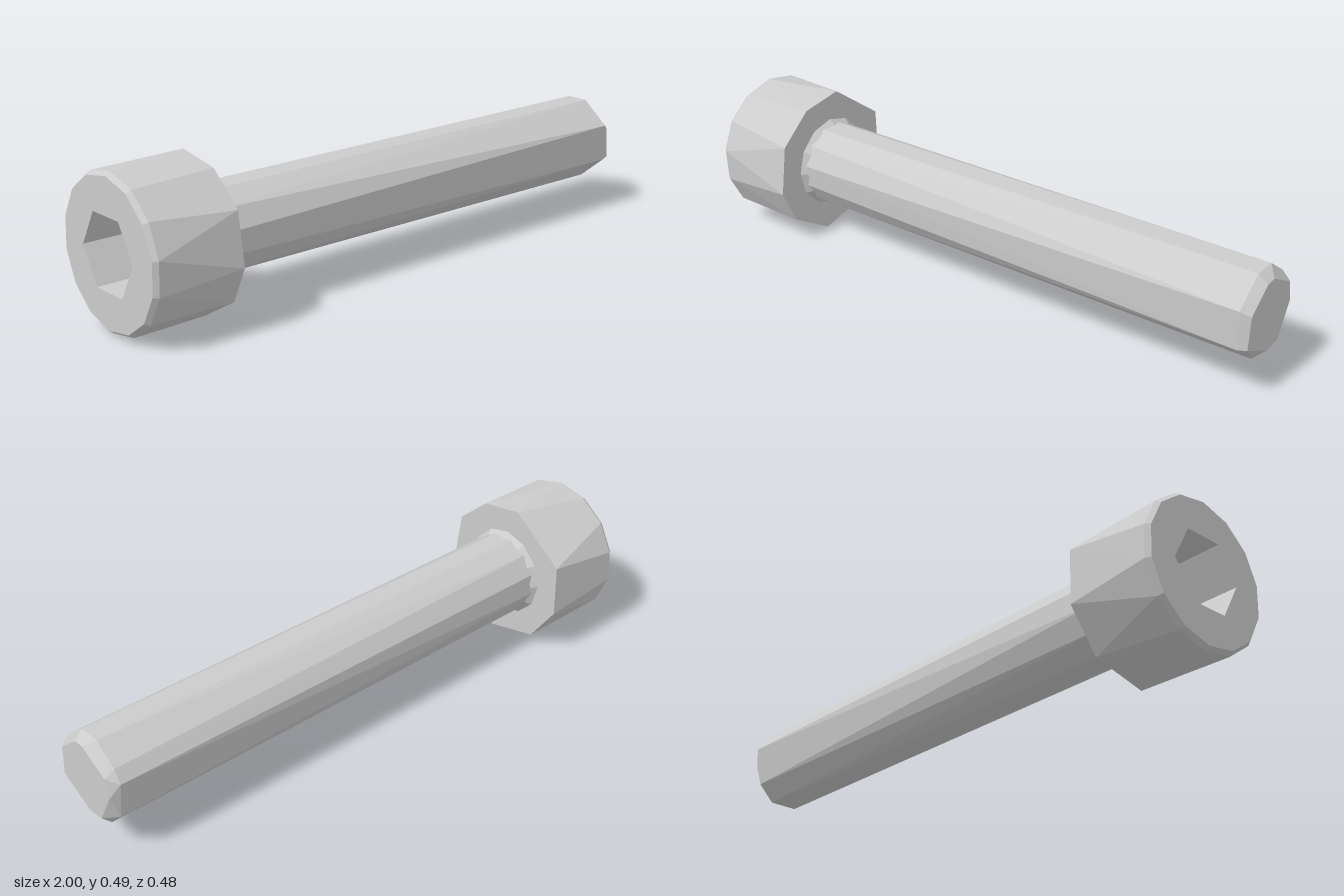
import * as THREE from 'three';
import { ConvexGeometry } from 'three/addons/geometries/ConvexGeometry.js';

const AXIS_Y = 0.247;
const material = new THREE.MeshStandardMaterial({ color: 0xcccccc, flatShading: true });

// Cross-section from [z, y] pairs, placed at a station along the bolt
const section = (x, pairs) => pairs.map(([z, y]) => new THREE.Vector3(x, y - AXIS_Y, z));

// Regular cross-section; angle 0 points to +z
function ring(x, radius, sides, turn = 0) {
  return Array.from({ length: sides }, (_, i) => {
    const a = turn + (i / sides) * Math.PI * 2;
    return new THREE.Vector3(x, radius * Math.sin(a), radius * Math.cos(a));
  });
}

// Faceted skin around the sections, optionally left open at station openX
function skin(points, openX) {
  const hull = new ConvexGeometry(points);
  if (openX === undefined) return hull;
  const p = hull.attributes.position;
  const kept = [];
  for (let i = 0; i < p.count; i += 3) {
    const corners = [i, i + 1, i + 2];
    if (corners.every((k) => Math.abs(p.getX(k) - openX) < 1e-4)) continue;
    corners.forEach((k) => kept.push(p.getX(k), p.getY(k), p.getZ(k)));
  }
  const open = new THREE.BufferGeometry();
  open.setAttribute('position', new THREE.Float32BufferAttribute(kept, 3));
  open.computeVertexNormals();
  return open;
}

function add(group, name, geometry, mat = material) {
  const mesh = new THREE.Mesh(geometry, mat);
  mesh.name = name;
  group.add(mesh);
  return mesh;
}

export function createModel() {
  const model = new THREE.Group();
  model.name = 'socketBolt';
  const bolt = new THREE.Group();
  bolt.name = 'bolt';
  bolt.position.y = AXIS_Y;
  model.add(bolt);

  // Head: coarse irregular underside, rounder rim with a small chamfer
  const underside = section(-0.71, [
    [-0.04, 0.492], [0.108, 0.466], [0.218, 0.368], [0.242, 0.203], [0.187, 0.088],
    [0.04, 0.002], [-0.142, 0.047], [-0.236, 0.18], [-0.23, 0.355],
  ]);
  const rim = ring(-0.985, 0.241, 14, 0.17);
  const face = ring(-1, 0.23, 14, 0.17);
  add(bolt, 'head', skin([...underside, ...rim, ...face], -1));

  // Head face with a hexagonal opening (shape x maps to z)
  const hex = ring(-1, 0.13, 6);
  const to2D = (v) => new THREE.Vector2(v.z, v.y);
  const faceShape = new THREE.Shape(face.map(to2D));
  faceShape.holes.push(new THREE.Path(hex.map(to2D)));
  const headFace = add(bolt, 'headFace', new THREE.ShapeGeometry(faceShape));
  headFace.rotation.y = -Math.PI / 2;
  headFace.position.x = -1;

  // Hex socket: inward-facing walls and a floor
  const depth = 0.14;
  const inside = material.clone();
  inside.side = THREE.DoubleSide;
  const walls = new THREE.CylinderGeometry(0.13, 0.13, depth, 6, 1, true).rotateZ(Math.PI / 2);
  add(bolt, 'socketWalls', walls, inside).position.x = -1 + depth / 2;
  const floor = add(bolt, 'socketFloor', new THREE.ShapeGeometry(new THREE.Shape(hex.map(to2D))));
  floor.rotation.y = -Math.PI / 2;
  floor.position.x = -1 + depth;

  // Small fillet where the shank meets the head
  const neck = new THREE.CylinderGeometry(0.138, 0.154, 0.02, 12, 1, true).rotateZ(-Math.PI / 2);
  add(bolt, 'neckFillet', neck).position.x = -0.7;

  // Shank: twelve sides at the neck, fewer at the chamfered tip
  const neckEnd = ring(-0.705, 0.14, 12, 0.2);
  const tipEnd = section(0.97, [
    [0.135, 0.31], [0.04, 0.388], [-0.035, 0.39], [-0.112, 0.335], [-0.138, 0.295],
    [-0.118, 0.165], [-0.063, 0.108], [0.035, 0.107], [0.13, 0.183],
  ]);
  const tipFace = section(1, [
    [0.117, 0.293], [0.034, 0.362], [0, 0.365], [-0.105, 0.31],
    [-0.117, 0.245], [-0.06, 0.138], [0, 0.13], [0.125, 0.19],
  ]);
  add(bolt, 'shank', skin([...neckEnd, ...tipEnd, ...tipFace]));

  return model;
}
